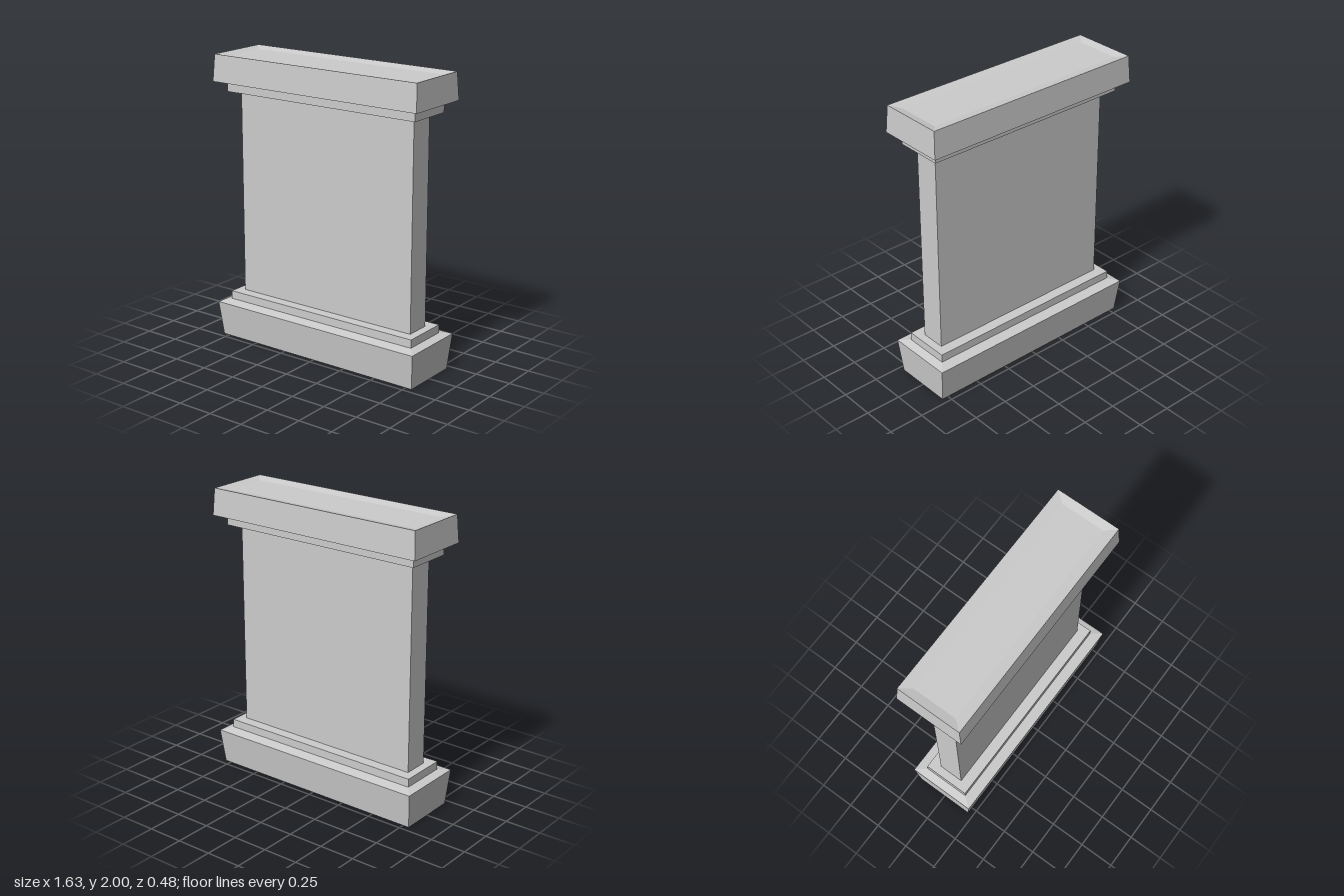
import * as THREE from 'three';

const material = new THREE.MeshStandardMaterial({ color: 0xcccccc, flatShading: true });

// Solid skinned over rectangular sections [y, halfWidth, halfDepth], listed bottom to top
function rectLoft(name, sections) {
  const positions = [];
  const index = [];
  for (const [y, w, d] of sections) {
    positions.push(-w, y, d, w, y, d, w, y, -d, -w, y, -d);
  }
  const quad = (a, b, c, d) => index.push(a, b, c, a, c, d);
  for (let s = 0; s < sections.length - 1; s++) {
    for (let i = 0; i < 4; i++) {
      const a = s * 4 + i, b = s * 4 + (i + 1) % 4;
      quad(a, b, b + 4, a + 4);
    }
  }
  const t = (sections.length - 1) * 4;
  quad(3, 2, 1, 0);
  quad(t, t + 1, t + 2, t + 3);

  const indexed = new THREE.BufferGeometry();
  indexed.setAttribute('position', new THREE.Float32BufferAttribute(positions, 3));
  indexed.setIndex(index);
  const geometry = indexed.toNonIndexed();
  geometry.computeVertexNormals();
  const mesh = new THREE.Mesh(geometry, material);
  mesh.name = name;
  return mesh;
}

// Plain block between two heights
function block(name, width, depth, y0, y1) {
  const mesh = new THREE.Mesh(new THREE.BoxGeometry(width, y1 - y0, depth), material);
  mesh.position.y = (y0 + y1) / 2;
  mesh.name = name;
  return mesh;
}

export function createModel() {
  const group = new THREE.Group();
  group.name = 'pedestalWall';

  group.add(
    // Flared plinth with a gently sloping shoulder
    rectLoft('plinth', [[0, 0.795, 0.21], [0.245, 0.815, 0.24], [0.26, 0.755, 0.165]]),
    block('lowerMoulding', 1.51, 0.33, 0.26, 0.317),
    block('panel', 1.395, 0.176, 0.317, 1.742),
    block('upperMoulding', 1.51, 0.33, 1.742, 1.803),
    // Tapered capstone with a sloping underside and a shallow dished top
    rectLoft('capstone', [
      [1.803, 0.755, 0.165], [1.815, 0.815, 0.24], [2, 0.805, 0.228], [1.985, 0.745, 0.155],
    ]),
  );
  return group;
}
